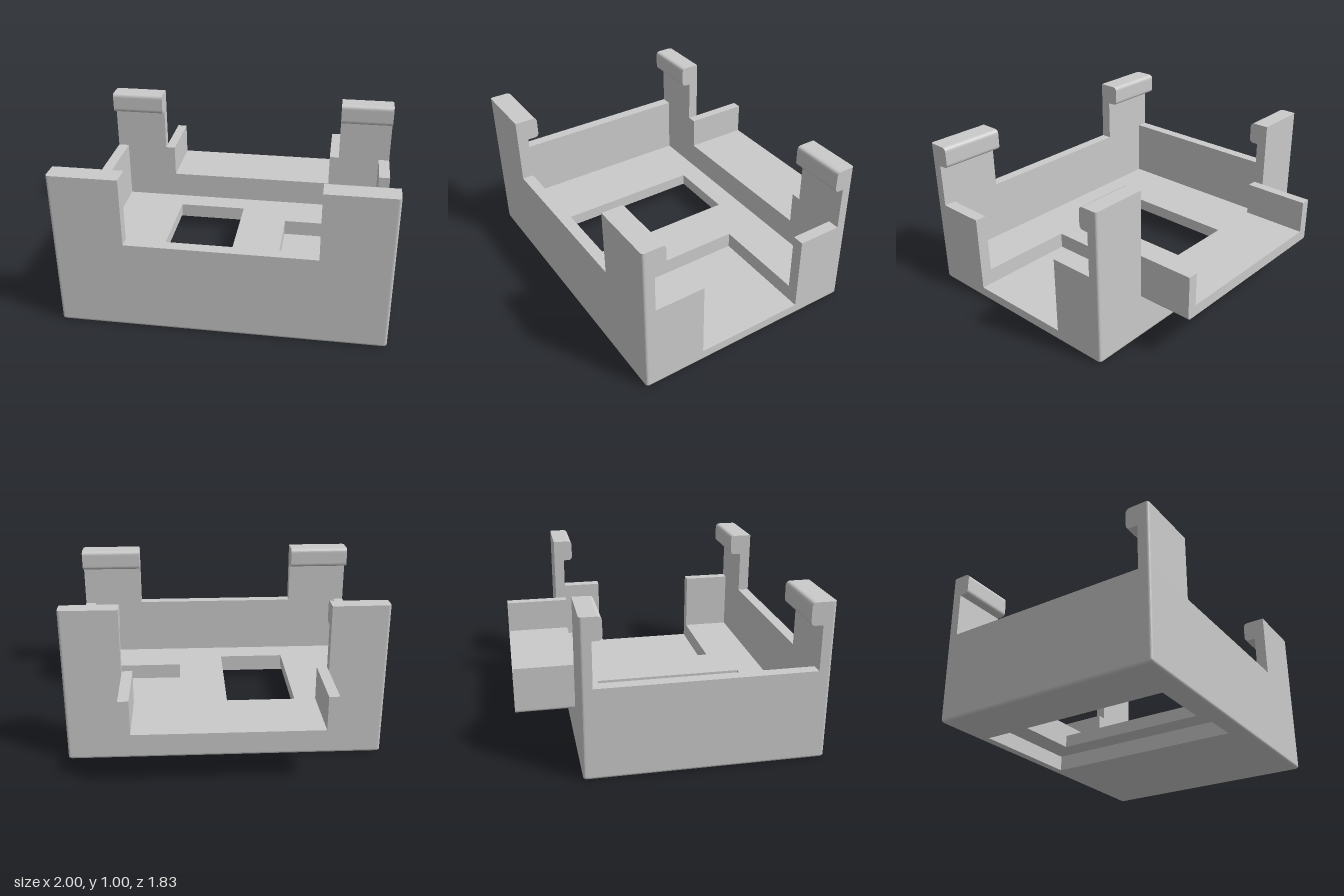
import * as THREE from 'three';

const R = 0.02; // outer edge rounding
const ARC = 8; // facets per rounded edge
const X = 1, ZF = 0.913, ZB = -0.553; // outer box
const IL = -0.927, IR = 0.925, IF = 0.84, IB = -0.485; // inner faces of the walls
const N0 = -0.198, N1 = 0.518; // side opening, from back to front
const FLOOR = 0.18, RIM = 0.576, SILL = 0.36, NOTCH = 0.073;

// Closed outline from [u, v, optional corner radius]
function outline(points, Type = THREE.Shape) {
  const path = new Type();
  const n = points.length;
  points.forEach(([u, v, r = 0], i) => {
    const toward = ([a, b]) => {
      const d = Math.hypot(a - u, b - v);
      return [u + (a - u) * r / d, v + (b - v) * r / d];
    };
    const p = toward(points[(i + n - 1) % n]);
    if (i === 0) path.moveTo(...p); else path.lineTo(...p);
    if (r) path.quadraticCurveTo(u, v, ...toward(points[(i + 1) % n]));
  });
  path.closePath();
  return path;
}

// Plan points in x, z, turned counter-clockwise so that hole walls face inwards
const plan = (pts) => pts.map(([x, z, r]) => [x, -z, r]).reverse();
const rect = (x0, x1, z0, z1) => [[x0, z0], [x1, z0], [x1, z1], [x0, z1]];

const extrude = (shape, depth, steps = 1) =>
  new THREE.ExtrudeGeometry(shape, { depth, steps, bevelEnabled: false, curveSegments: ARC });

// Vertical prism from a plan outline
function prism(pts, y0, y1, hole, steps) {
  const shape = outline(plan(pts));
  if (hole) shape.holes.push(outline(plan(hole), THREE.Path));
  return extrude(shape, y1 - y0, steps).rotateX(-Math.PI / 2).translate(0, y0, 0);
}

export function createModel() {
  const group = new THREE.Group();
  const grey = new THREE.MeshStandardMaterial({ color: 0xcacaca });
  grey.name = 'light grey';
  const add = (name, geometry) => {
    const mesh = new THREE.Mesh(geometry, grey);
    mesh.name = name;
    group.add(mesh);
  };

  const corners = [[-X, ZB, R], [X, ZB, R], [X, ZF, R], [-X, ZF, R]];
  const notched = [[-X, ZB, R], [X, ZB, R], [X, N0], [0.285, N0], [0.285, N1], [X, N1], [X, ZF, R], [-X, ZF, R]];
  const window = rect(-0.5, -0.035, -0.34, 0.658);
  const recess = rect(-0.645, 0.105, IB, 0.8);

  // Base plate, its lower outer edge rounded by insetting the outline
  const base = prism(corners, 0, NOTCH, recess, ARC + 1);
  const pos = base.attributes.position;
  for (let i = 0; i < pos.count; i++) {
    const k = Math.round(pos.getY(i) / NOTCH * (ARC + 1));
    const angle = Math.min(k, ARC) / ARC * Math.PI / 2;
    const inset = R * (1 - Math.sin(angle));
    const x = pos.getX(i), z = pos.getZ(i);
    pos.setY(i, k > ARC ? NOTCH : R * (1 - Math.cos(angle)));
    if (Math.abs(x) > 0.95) pos.setX(i, x - Math.sign(x) * inset);
    if (z > 0.87) pos.setZ(i, z - inset);
    if (z < -0.52) pos.setZ(i, z + inset);
  }
  base.computeVertexNormals();
  add('basePlate', base);

  // Floor with a side notch, and a window over the wider underside recess
  add('lowerFloor', prism(notched, NOTCH, 0.1, recess));
  add('upperFloor', prism(notched, 0.1, FLOOR, window));

  // Walls, open at the left side; the back is cut down to the tray sill
  add('lowerWalls', prism([
    [X, N1], [X, ZF, R], [-X, ZF, R], [-X, ZB, R], [X, ZB, R], [X, N0],
    [IR, N0], [IR, IB], [IL, IB], [IL, IF], [IR, IF], [IR, N1],
  ], FLOOR, SILL));
  add('upperWalls', prism([
    [X, N1], [X, ZF, R], [-X, ZF, R], [-X, ZB, R], [-0.575, ZB],
    [-0.575, IB], [IL, IB], [IL, IF], [IR, IF], [IR, N1],
  ], SILL, RIM));
  add('upperBackCorner', prism([
    [X, N0], [IR, N0], [IR, IB], [0.575, IB], [0.575, ZB], [X, ZB, R],
  ], SILL, RIM));

  // Corner clips: a post with a rounded inward lip
  for (const side of [-1, 1]) {
    for (const [name, xi, outer, inner, lip] of [
      ['front', 0.575, ZF, IF, 0.765],
      ['back', 0.64, ZB, IB, -0.425],
    ]) {
      add(name + 'Post', prism([
        [side * xi, inner], [side * X, inner], [side * X, outer, R], [side * xi, outer],
      ], RIM, 1));
      const profile = outline([[inner, 0.86], [lip, 0.86, 0.03], [lip, 1, 0.03], [inner, 1]]);
      add(name + 'Lip', extrude(profile, X - xi)
        .rotateY(-Math.PI / 2).translate(side > 0 ? X : -xi, 0, 0));
    }
  }

  // U-shaped tray standing out from the back
  const tray = outline([
    [-0.64, RIM], [-0.64, 0.288, R], [0.64, 0.288, R], [0.64, RIM],
    [0.575, RIM], [0.575, SILL], [-0.575, SILL], [-0.575, RIM],
  ]);
  add('backTray', extrude(tray, ZB - -0.913).translate(0, 0, -0.913));

  return group;
}
